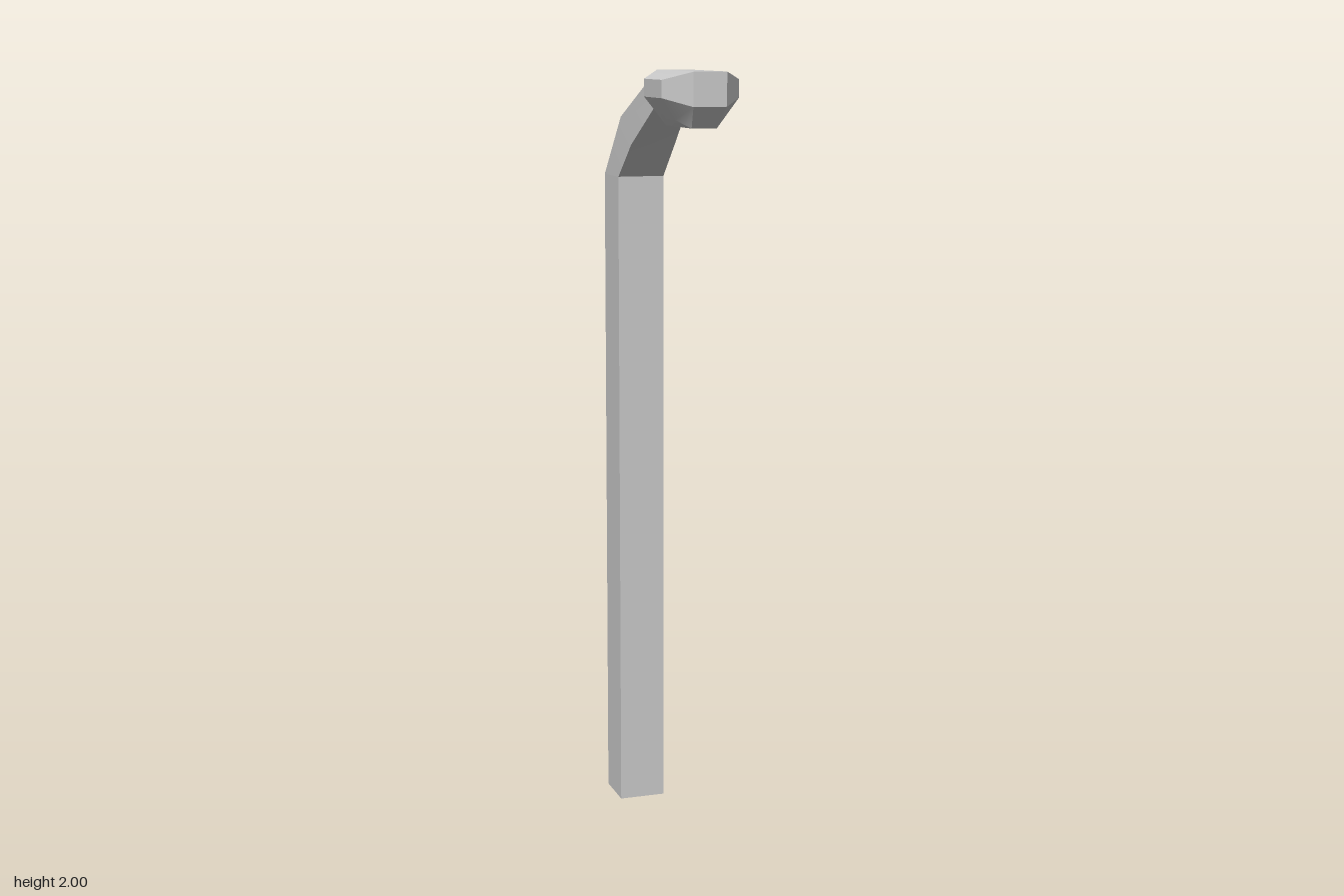
import * as THREE from 'three';
import { toCreasedNormals } from 'three/addons/utils/BufferGeometryUtils.js';

// Skin a stack of rings (each counterclockwise seen from above), plus optional cap quads
function loft(rings, capQuads = []) {
  const pos = [];
  const quad = (a, b, c, d) => [a, b, c, a, c, d].forEach((p) => pos.push(...p));
  for (let k = 0; k < rings.length - 1; k++) {
    const lo = rings[k], hi = rings[k + 1], n = lo.length;
    for (let i = 0; i < n; i++) {
      const j = (i + 1) % n;
      quad(lo[i], lo[j], hi[j], hi[i]);
    }
  }
  for (const q of capQuads) {
    quad(...q.map((i) => rings[rings.length - 1][i]));
    quad(...q.map((i) => rings[0][i]).reverse());
  }
  const geo = new THREE.BufferGeometry();
  geo.setAttribute('position', new THREE.Float32BufferAttribute(pos, 3));
  return toCreasedNormals(geo, 0.5);
}

// Four-sided section: half width, front/lower edge and back/upper edge as [y, z]
const section = (w, [yf, zf], [yb, zb]) => [[w, yf, zf], [w, yb, zb], [-w, yb, zb], [-w, yf, zf]];

// Eight-sided lamp ring: end and side corners, each { half width, y, half length }
const HEAD_Z = 0.196;
function headRing(end, side) {
  const half = [
    [end.x, end.y, end.l], [side.x, side.y, side.l],
    [side.x, side.y, -side.l], [end.x, end.y, -end.l],
  ];
  const mirrored = half.map(([x, y, z]) => [-x, y, z]).reverse();
  return [...half, ...mirrored].map(([x, y, z]) => [x, y, z + HEAD_Z]);
}

export function createModel() {
  const group = new THREE.Group();
  const material = new THREE.MeshStandardMaterial({ color: 0xcccccc, side: THREE.DoubleSide });
  const add = (name, geometry) => {
    const mesh = new THREE.Mesh(geometry, material);
    mesh.name = name;
    group.add(mesh);
  };

  // Square post, open at the bottom
  const W = 0.062, FRONT = -0.211, BACK = -0.336;
  const postTop = section(W, [1.72, FRONT], [1.72, BACK]);
  add('post', loft([section(W, [0, FRONT], [0, BACK]), postTop]));

  // Bent arm tapering towards the lamp
  add('arm', loft([
    postTop,
    section(0.059, [1.808, -0.107], [1.876, -0.197]),
    section(0.042, [1.918, 0.056], [2, 0.056]),
  ]));

  // Faceted lamp head with gently arched top and bottom
  add('lampHead', loft([
    headRing({ x: 0.032, y: 1.866, l: 0.097 }, { x: 0.056, y: 1.884, l: 0.048 }),
    headRing({ x: 0.042, y: 1.918, l: 0.14 }, { x: 0.098, y: 1.937, l: 0.069 }),
    headRing({ x: 0.042, y: 2, l: 0.14 }, { x: 0.098, y: 1.98, l: 0.069 }),
  ], [[0, 1, 2, 3], [0, 3, 4, 7], [4, 5, 6, 7]]));

  return group;
}
